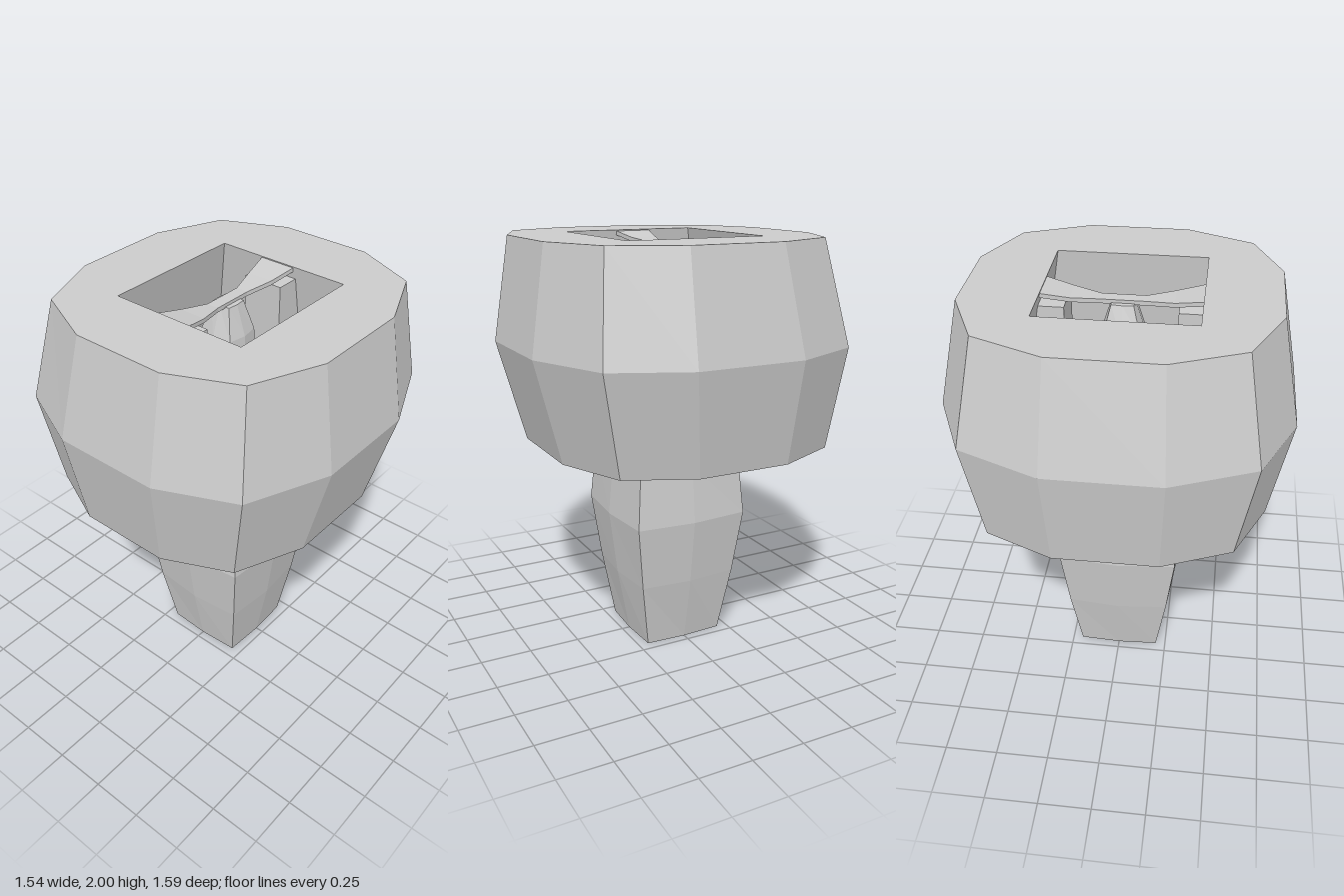
import * as THREE from 'three';

const material = new THREE.MeshStandardMaterial({ color: 0xcccccc, flatShading: true });

// Skin a list of rings (equal point counts, ordered from +x toward +z, running upward outside).
// closed joins the last ring to the first; otherwise both ends are capped.
function loft(name, rings, closed = false) {
  const positions = [];
  const n = rings[0].length;
  const tri = (a, b, c) => positions.push(...a, ...b, ...c);
  const last = closed ? rings.length : rings.length - 1;
  for (let i = 0; i < last; i++) {
    const lower = rings[i], upper = rings[(i + 1) % rings.length];
    for (let j = 0; j < n; j++) {
      const k = (j + 1) % n;
      tri(lower[j], upper[j], upper[k]);
      tri(lower[j], upper[k], lower[k]);
    }
  }
  if (!closed) {
    const bottom = rings[0], top = rings[rings.length - 1];
    for (let j = 1; j < n - 1; j++) {
      tri(bottom[0], bottom[j], bottom[j + 1]);
      tri(top[0], top[j + 1], top[j]);
    }
  }
  const geometry = new THREE.BufferGeometry();
  geometry.setAttribute('position', new THREE.Float32BufferAttribute(positions, 3));
  geometry.computeVertexNormals();
  const mesh = new THREE.Mesh(geometry, material);
  mesh.name = name;
  return mesh;
}

// Twelve-point outline: [near, corner, far] offsets on each axis, shifted along x
function twelve(y, [xn, xc, xf], [zn, zc, zf], shift) {
  const quarter = [[xf, zn], [xc, zc], [xn, zf]];
  const mirrored = [...quarter].reverse();
  const put = (list, sx, sz) => list.map(([x, z]) => [x * sx + shift, y, z * sz]);
  return [...put(quarter, 1, 1), ...put(mirrored, -1, 1), ...put(quarter, -1, -1), ...put(mirrored, 1, -1)];
}

// Square outline with the same twelve points
const square = (y, hx, hz, shift) => twelve(y, [hx / 3, hx, hx], [hz / 3, hz, hz], shift);

// Square with slightly bulged sides
function bulged(y, corner, mid) {
  return [[mid, 0], [corner, corner], [0, mid], [-corner, corner],
    [-mid, 0], [-corner, -corner], [0, -mid], [corner, -corner]].map(([x, z]) => [x, y, z]);
}

export function createModel() {
  const model = new THREE.Group();

  // Hollow head, slightly leaning toward +x, with a square hole that widens downward
  const rimX = [0.225, 0.535, 0.67], rimZ = [0.24, 0.56, 0.70];
  model.add(loft('head', [
    twelve(1.02, rimX, rimZ, -0.03),
    twelve(1.51, [0.26, 0.61, 0.77], [0.26, 0.64, 0.795], 0),
    twelve(2, rimX, rimZ, 0.025),
    square(2, 0.34, 0.355, 0.025),
    square(1.02, 0.5, 0.52, -0.025),
  ], true));

  // Handle with bulging sides
  const handleProfile = [[0, 0.2, 0.21], [0.33, 0.25, 0.272], [0.65, 0.288, 0.313], [0.93, 0.266, 0.287], [1.15, 0.232, 0.24]];
  model.add(loft('handle', handleProfile.map((p) => bulged(...p))));

  // Small tapered post between handle and bridge
  const postProfile = [[1.13, 0.07, 0.08], [1.65, 0.09, 0.11], [1.8, 0.085, 0.1], [1.94, 0.05, 0.055]];
  model.add(loft('post', postProfile.map((p) => bulged(...p))));

  // Guide rails on the front and back walls, following the wall slope
  for (const side of [-1, 1]) {
    const box = (y, outer) => {
      const z0 = Math.min(side * 0.25, side * outer), z1 = Math.max(side * 0.25, side * outer);
      return [[0.1, y, z0], [0.1, y, z1], [-0.1, y, z1], [-0.1, y, z0]];
    };
    const rail = loft('guideRail', [box(1.06, 0.52), box(1.94, 0.37)]);
    model.add(rail);
  }

  // Thin waisted bridge across the hole, sagging a little in the middle
  const stations = [[-0.36, 0.09, 1.995], [-0.23, 0.065, 1.97], [-0.1, 0.03, 1.955],
    [0.1, 0.03, 1.955], [0.23, 0.065, 1.97], [0.36, 0.09, 1.995]];
  model.add(loft('bridge', stations.map(([z, w, y]) =>
    [[w, y, z], [w, y - 0.02, z], [-w, y - 0.02, z], [-w, y, z]])));

  return model;
}
